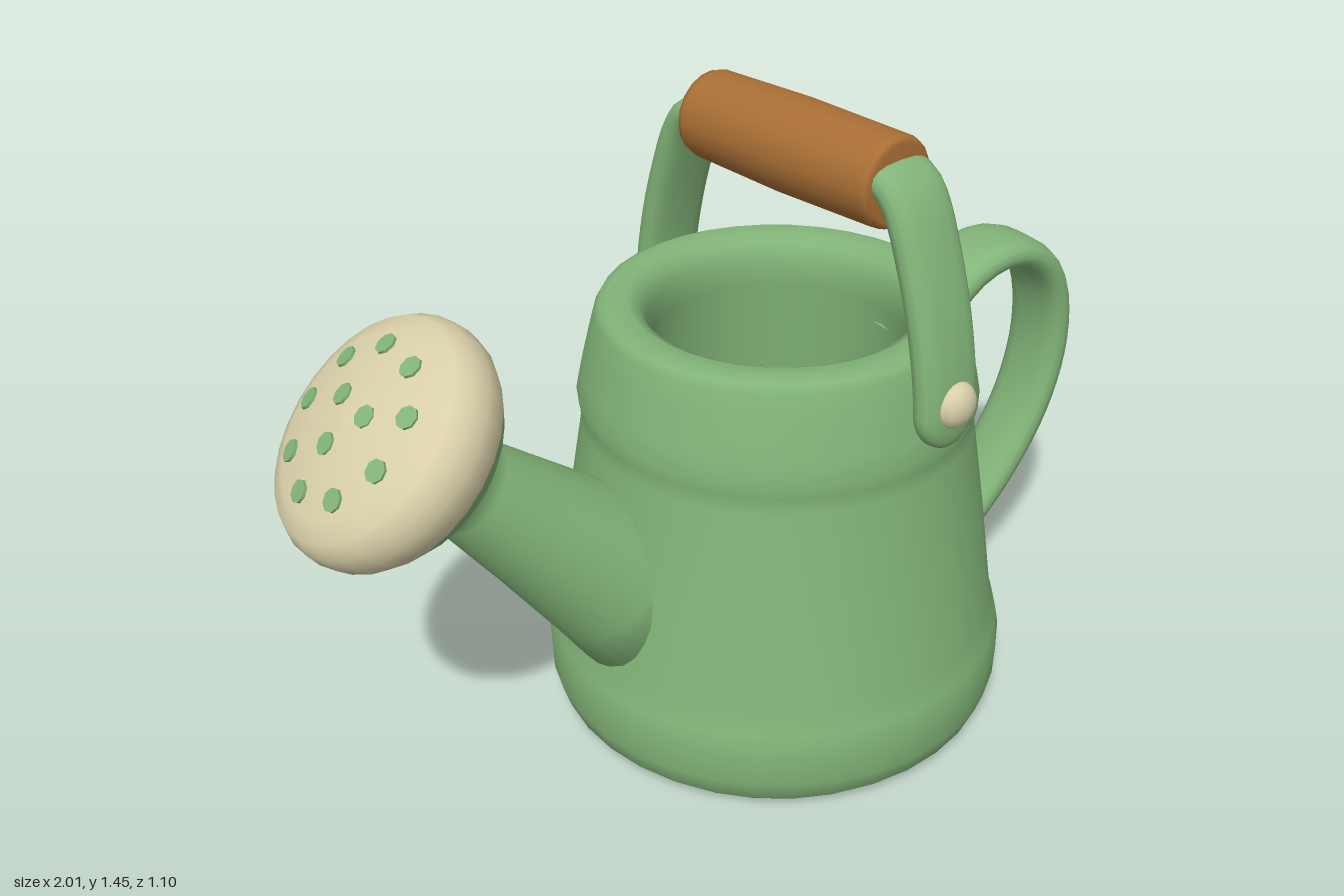
import * as THREE from 'three';

const paint = (name, color) => {
  const m = new THREE.MeshStandardMaterial({ color });
  m.name = name;
  return m;
};

const v2 = (pts) => pts.map(([x, y]) => new THREE.Vector2(x, y));
const lathe = (pts, sides) => new THREE.LatheGeometry(v2(pts), sides);

// Sweeps a soft-cornered strap along a curve in the XY plane; its width runs along z.
function strap(pts, halfWidth, halfThick, steps = 36, sides = 16) {
  const curve = new THREE.CatmullRomCurve3(pts.map(([x, y]) => new THREE.Vector3(x, y, 0)));
  const pos = [], index = [];
  const soft = (v) => Math.sign(v) * Math.pow(Math.abs(v), 0.75);
  for (let i = 0; i <= steps; i++) {
    const u = Math.sin((i / steps) * Math.PI / 2);
    const p = curve.getPointAt(u), t = curve.getTangentAt(u);
    const w = halfWidth(u), h = halfThick(u);
    for (let j = 0; j < sides; j++) {
      const a = (j / sides) * Math.PI * 2;
      const n = soft(Math.cos(a)) * h;
      pos.push(p.x - t.y * n, p.y + t.x * n, soft(Math.sin(a)) * w);
      if (i < steps) {
        const k = (j + 1) % sides, r = i * sides, s = r + sides;
        index.push(r + j, r + k, s + j, r + k, s + k, s + j);
      }
    }
  }
  const g = new THREE.BufferGeometry();
  g.setAttribute('position', new THREE.Float32BufferAttribute(pos, 3));
  g.setIndex(index);
  g.computeVertexNormals();
  return g;
}

export function createModel() {
  const green = paint('greenEnamel', 0x82b478);
  const cream = paint('creamEnamel', 0xd9d0a9);
  const brown = paint('brownWood', 0xa96f35);

  const model = new THREE.Group();
  model.name = 'wateringCan';
  const add = (parent, name, geometry, material) => {
    const m = new THREE.Mesh(geometry, material);
    m.name = name;
    parent.add(m);
    return m;
  };

  // Hollow body with a swollen foot and a shoulder band
  const body = add(model, 'body', lathe([
    [0, 0], [0.49, 0], [0.505, 0.004], [0.53, 0.03], [0.546, 0.08], [0.548, 0.16], [0.538, 0.21],
    [0.521, 0.26], [0.485, 0.5], [0.447, 0.73], [0.448, 0.77], [0.454, 0.8], [0.444, 0.85],
    [0.422, 0.94], [0.408, 0.99], [0.398, 1.008], [0.38, 1.016], [0.335, 1.014], [0.308, 1.0],
    [0.292, 0.96], [0.292, 0.9], [0.34, 0.5], [0.38, 0.13], [0.36, 0.1], [0, 0.1],
  ], 36), green);
  body.position.set(0.14, 0, 0);

  // Spout and rose share one slanted axis
  const spout = new THREE.Group();
  spout.name = 'spoutAssembly';
  spout.position.set(-0.2, 0.35, 0);
  spout.quaternion.setFromUnitVectors(new THREE.Vector3(0, 1, 0), new THREE.Vector3(-0.7, 0.71, 0).normalize());
  model.add(spout);
  add(spout, 'spout', lathe([
    [0, 0], [0.215, 0], [0.18, 0.18], [0.142, 0.4], [0.108, 0.62], [0.106, 0.65],
    [0.122, 0.675], [0.15, 0.7], [0.205, 0.735], [0.24, 0.775],
  ], 28), green);
  add(spout, 'rose', lathe([
    [0.24, 0.775], [0.262, 0.81], [0.268, 0.845], [0.263, 0.88], [0.243, 0.912],
    [0.2, 0.932], [0.1, 0.953], [0, 0.96],
  ], 28), cream);

  // Two rings of sprinkling holes on the rose
  for (const [count, r, y, tilt] of [[3, 0.06, 0.956, 0.12], [9, 0.165, 0.941, 0.22]]) {
    for (let i = 0; i < count; i++) {
      const arm = new THREE.Group();
      arm.name = 'roseHole';
      arm.rotation.y = ((i + 0.5) / count) * Math.PI * 2;
      spout.add(arm);
      const hole = add(arm, 'hole', new THREE.CylinderGeometry(0.024, 0.024, 0.008, 8), green);
      hole.position.set(r, y, 0);
      hole.rotation.z = -tilt;
    }
  }

  // Rear handle, flaring where it joins the body
  const flare = (u) => 0.038 + 0.035 * Math.max(0, 1 - u / 0.14) + 0.03 * Math.max(0, (u - 0.88) / 0.12);
  add(model, 'rearHandle', strap([
    [0.48, 0.8], [0.58, 0.885], [0.67, 0.95], [0.765, 0.973], [0.86, 0.945], [0.93, 0.86],
    [0.958, 0.7], [0.922, 0.52], [0.82, 0.34], [0.69, 0.2], [0.58, 0.12],
  ], (u) => 0.097 - 0.02 * u, flare, 48), green);

  // Swinging top handle, turned slightly about the vertical
  const bail = new THREE.Group();
  bail.name = 'topHandle';
  bail.position.set(0.187, 0, -0.003);
  bail.rotation.y = -Math.PI / 2 + 0.147;
  model.add(bail);

  const grip = add(bail, 'grip', lathe([
    [0, -0.285], [0.085, -0.285], [0.096, -0.278], [0.1, -0.262], [0.105, 0],
    [0.1, 0.262], [0.096, 0.278], [0.085, 0.285], [0, 0.285],
  ], 20), brown);
  grip.position.y = 1.348;
  grip.rotation.z = Math.PI / 2;

  const roundEnd = (u) => Math.sqrt(Math.max(0, 1 - Math.pow(Math.max(0, (u - 0.87) / 0.13), 2)));
  for (const side of [0, 1]) {
    const half = new THREE.Group();
    half.name = side ? 'backArm' : 'frontArm';
    half.rotation.y = side * Math.PI;
    bail.add(half);
    add(half, 'arm', strap([
      [0.2, 1.36], [0.285, 1.365], [0.325, 1.33], [0.38, 1.2], [0.42, 1.06], [0.442, 0.93], [0.447, 0.815],
    ], (u) => 0.083 * roundEnd(u), (u) => 0.036 * Math.sqrt(roundEnd(u))), green);
    const rivet = add(half, 'rivet', new THREE.SphereGeometry(0.052, 14, 10), cream);
    rivet.position.set(0.472, 0.92, 0);
    rivet.scale.x = 0.7;
  }

  return model;
}
